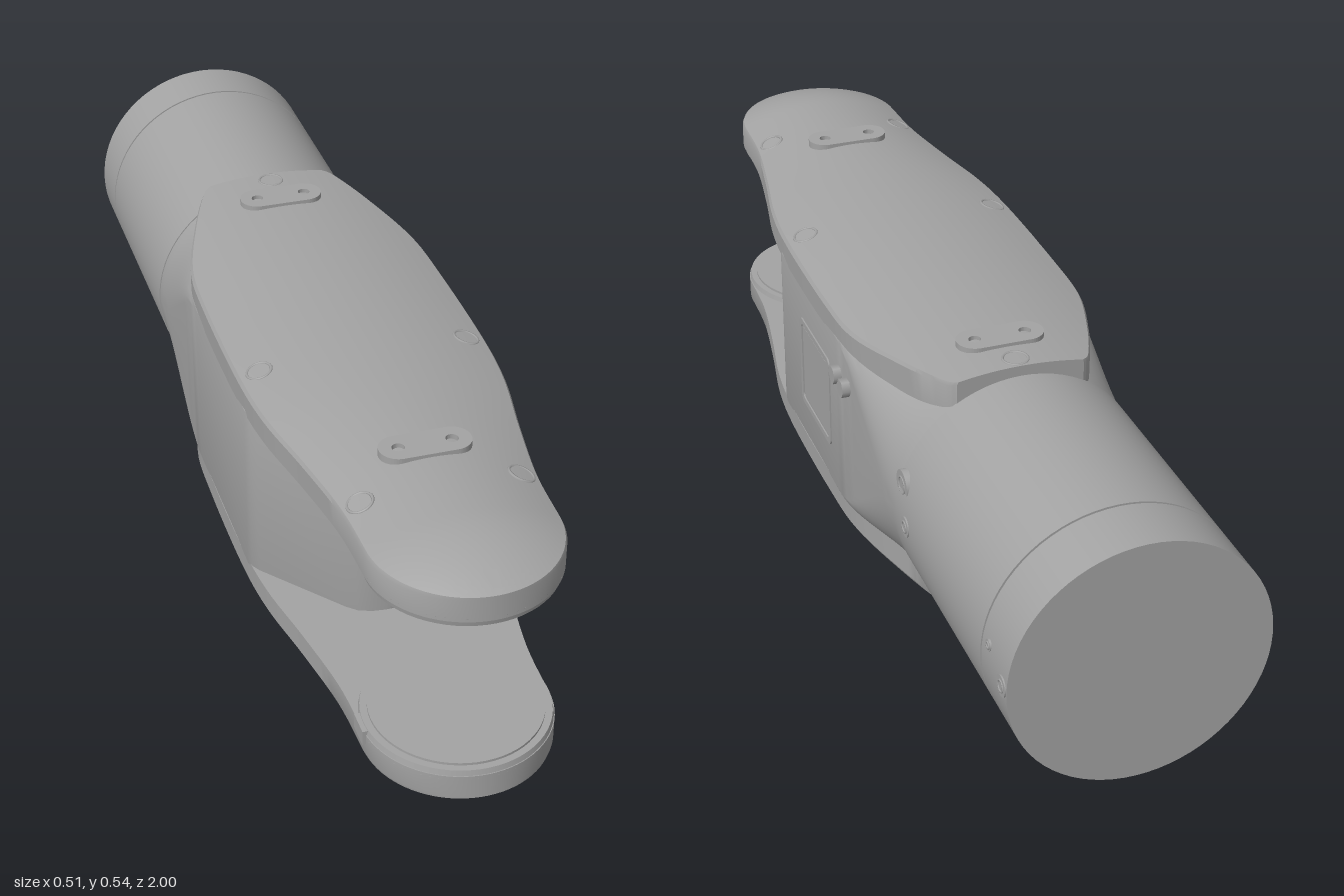
import * as THREE from 'three';
import { toCreasedNormals } from 'three/addons/utils/BufferGeometryUtils.js';

const MID = 0.273; // height of the horizontal symmetry plane
const TIP_Z = 0.823, TIP_R = 0.177, HALF_W = 0.246;

// Skin closed rings (counter-clockwise seen from +z, ordered towards +z) and cap both ends
function loft(rings, crease = 0.5) {
  const n = rings[0].length, pos = [], index = [];
  rings.forEach(r => r.forEach(p => pos.push(...p)));
  for (let i = 0; i < rings.length - 1; i++) {
    for (let j = 0; j < n; j++) {
      const k = (j + 1) % n, a = i * n + j, b = i * n + k;
      index.push(a, b, b + n, a, b + n, a + n);
    }
  }
  [0, rings.length - 1].forEach(i => {
    const c = pos.length / 3;
    const mid = [0, 1, 2].map(q => rings[i].reduce((s, p) => s + p[q], 0) / n);
    pos.push(...mid);
    for (let j = 0; j < n; j++) {
      const a = i * n + j, b = i * n + (j + 1) % n;
      index.push(c, i ? a : b, i ? b : a);
    }
  });
  const g = new THREE.BufferGeometry();
  g.setAttribute('position', new THREE.Float32BufferAttribute(pos, 3));
  g.setIndex(index);
  return toCreasedNormals(g, crease);
}

function roundedRing(hw, hh, r, z) {
  const ring = [];
  [[1, 1], [-1, 1], [-1, -1], [1, -1]].forEach(([sx, sy], q) => {
    for (let i = 0; i <= 12; i++) {
      const a = (q + i / 12) * Math.PI / 2;
      ring.push([sx * (hw - r) + r * Math.cos(a), sy * (hh - r) + r * Math.sin(a), z]);
    }
  });
  return ring;
}

// Crowned top surface of a cover
function crown(x, z, w) {
  const d = z > TIP_Z ? Math.hypot(x, z - TIP_Z) / TIP_R : x / (z < 0.1 ? HALF_W : w);
  return 0.266 - 0.043 * Math.min(1, d * d);
}

function coverGeometry() {
  const plan = new THREE.SplineCurve([[-0.43, 0.125], [-0.405, 0.147], [-0.3, 0.19], [-0.15, 0.236], [0, 0.246],
    [0.25, 0.246], [0.4, 0.235], [0.55, 0.207], [0.7, 0.183], [TIP_Z, TIP_R]].map(p => new THREE.Vector2(...p)));
  const stations = plan.getPoints(54).map(p => [p.x, p.y]);
  for (let i = 1; i <= 20; i++) {
    const a = i / 20 * Math.PI / 2;
    stations.push([TIP_Z + TIP_R * Math.sin(a), Math.max(0.002, TIP_R * Math.cos(a))]);
  }
  return loft(stations.map(([z, w]) => {
    const ring = [[-w, 0.172, z], [w, 0.172, z], [w, crown(w, z, w) - 0.006, z]];
    for (let i = 0; i <= 24; i++) {
      const x = w * 0.98 * (1 - i / 12);
      ring.push([x, crown(x, z, w), z]);
    }
    ring.push([-w, crown(w, z, w) - 0.006, z]);
    return ring;
  }), 0.45);
}

// Capsule pad with two screw holes, lying flat
function padGeometry() {
  const s = new THREE.Shape();
  s.absarc(0.05, 0, 0.036, -Math.PI / 2, Math.PI / 2, false);
  s.absarc(-0.05, 0, 0.036, Math.PI / 2, Math.PI * 1.5, false);
  s.closePath();
  [-0.05, 0.05].forEach(x => s.holes.push(new THREE.Path().absarc(x, 0, 0.012, 0, Math.PI * 2, true)));
  const g = new THREE.ExtrudeGeometry(s, { depth: 0.017, bevelEnabled: false, curveSegments: 12 });
  return g.rotateX(-Math.PI / 2);
}

function squareShape(h, r, Type = THREE.Shape) {
  const s = new Type();
  s.absarc(h - r, h - r, r, 0, Math.PI / 2);
  s.absarc(r - h, h - r, r, Math.PI / 2, Math.PI);
  s.absarc(r - h, r - h, r, Math.PI, Math.PI * 1.5);
  s.absarc(h - r, r - h, r, Math.PI * 1.5, Math.PI * 2);
  s.closePath();
  return s;
}

export function createModel() {
  const root = new THREE.Group();
  const model = new THREE.Group();
  model.name = 'armLink';
  model.position.set(-0.006, MID, 0);
  root.add(model);
  const grey = new THREE.MeshStandardMaterial({ color: 0xa3a3a3 });
  grey.name = 'satin grey';
  const add = (parent, name, geo, x = 0, y = 0, z = 0) => {
    const m = new THREE.Mesh(geo, grey);
    m.name = name;
    m.position.set(x, y, z);
    parent.add(m);
    return m;
  };

  // Central housing: round at the tube, square in the middle, tapered at the fork
  const rings = [];
  for (let i = 0; i <= 14; i++) {
    const t = i / 14, s = t * t * (3 - 2 * t);
    rings.push(roundedRing(0.243 + 0.003 * s, 0.243 - 0.05 * s, 0.243 - 0.223 * s, -0.43 + 0.36 * t));
  }
  [[0.246, 0.3], [0.242, 0.32], [0.232, 0.338], [0.105, 0.492], [0.085, 0.51], [0.06, 0.519], [0.035, 0.522]]
    .forEach(([w, z]) => rings.push(roundedRing(w, 0.193, 0.02, z)));
  add(model, 'housing', loft(rings, 0.6));

  // Rear tube with a seam near its end
  const tube = (name, r, z0, z1) =>
    add(model, name, new THREE.CylinderGeometry(r, r, z1 - z0, 72).rotateX(Math.PI / 2), 0, 0, (z0 + z1) / 2);
  tube('tube', 0.245, -0.877, -0.428);
  tube('tubeSeam', 0.241, -0.89, -0.4);
  tube('tubeEndRing', 0.245, -1, -0.882);

  // Upper and lower covers, each with its fork arm
  const coverGeo = coverGeometry(), padGeo = padGeometry();
  ['upper', 'lower'].forEach((side, i) => {
    const g = new THREE.Group();
    g.name = side + 'Cover';
    g.rotation.z = i * Math.PI;
    model.add(g);
    add(g, 'coverShell', coverGeo);
    add(g, 'forkPod', new THREE.CylinderGeometry(TIP_R, TIP_R - 0.004, 0.018, 64), 0, 0.17, TIP_Z);
    add(g, 'bearingDisc', new THREE.CylinderGeometry(0.16, 0.16, 0.006, 64), 0, 0.159, TIP_Z);
    [-0.32, 0.62].forEach(z => add(g, 'screwPad', padGeo, 0, 0.2555, z));
    // Rims of the screw pockets
    const rim = (x, z, w) => {
      const m = add(g, 'pocketRim', new THREE.TorusGeometry(0.024, 0.003, 6, 24).rotateX(Math.PI / 2),
        x, crown(x, z, w) - 0.001, z);
      m.rotation.z = -2 * 0.043 * x / (w * w);
    };
    [-1, 1].forEach(s => {
      rim(s * 0.205, 0.26, 0.246);
      rim(s * 0.148, 0.71, 0.182);
    });
    rim(0, -0.4, HALF_W);
  });
  add(model, 'forkTab', new THREE.BoxGeometry(0.02, 0.03, 0.05), -0.172, -0.178, 0.82);

  // Framed panel on the left side
  const frame = squareShape(0.1, 0.015);
  frame.holes.push(squareShape(0.088, 0.01, THREE.Path));
  const plate = (shape, depth) =>
    new THREE.ExtrudeGeometry(shape, { depth, bevelEnabled: false }).rotateY(Math.PI / 2);
  add(model, 'panelFrame', plate(frame, 0.004), HALF_W - 0.001, 0.003, 0.07);
  add(model, 'panelPlate', plate(squareShape(0.083, 0.008), 0.002), HALF_W - 0.001, 0.003, 0.07);

  // Hexagonal plugs beside the panel
  [-0.092, -0.147].forEach(z =>
    add(model, 'hexPlug', new THREE.CylinderGeometry(0.019, 0.019, 0.024, 6).rotateZ(Math.PI / 2), 0.25, 0.11, z));

  // Bolts on the side of the tube
  [[0.067, -0.445, 0.03], [0.002, -0.485, 0.02], [0.037, -0.91, 0.011], [0.002, -0.978, 0.02]].forEach(([y, z, r]) => {
    const x = Math.sqrt(0.245 ** 2 - y * y);
    add(model, 'boltHead', new THREE.CylinderGeometry(r, r, 0.02, 24).rotateZ(Math.PI / 2), x - 0.008, y, z);
    add(model, 'boltRim', new THREE.TorusGeometry(r * 0.55, 0.002, 6, 20).rotateY(Math.PI / 2), x + 0.002, y, z);
  });
  return root;
}
